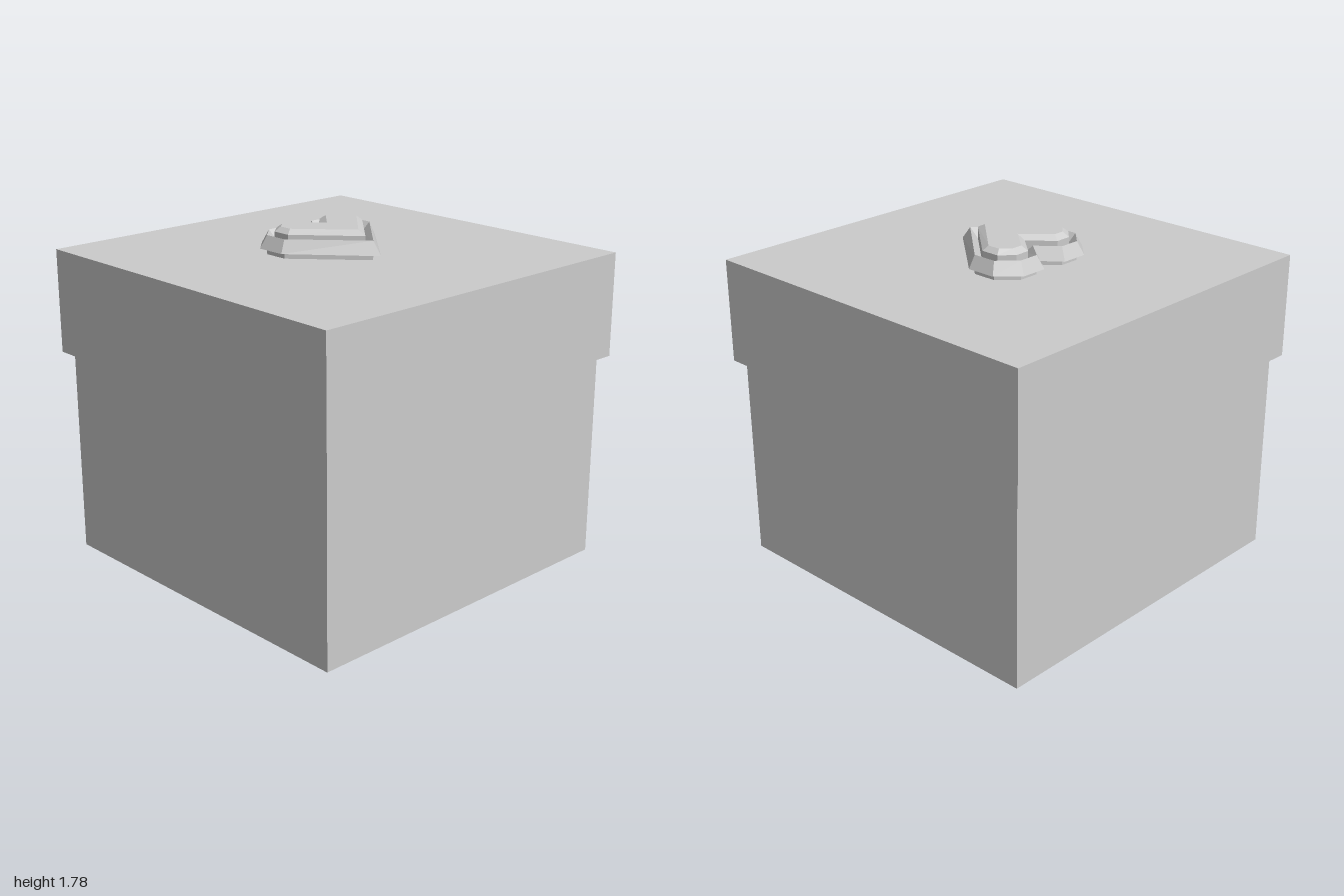
import * as THREE from 'three';

const material = new THREE.MeshStandardMaterial({ color: 0xcccccc, flatShading: true });

function addBox(group, name, size, bottom, top) {
  const mesh = new THREE.Mesh(new THREE.BoxGeometry(size, top - bottom, size), material);
  mesh.position.y = (bottom + top) / 2;
  mesh.name = name;
  group.add(mesh);
}

// Mirror half a heart outline (notch first, tip last) into a closed loop
function heartLoop(half) {
  const mirrored = half.slice(1, -1).reverse().map(([x, z]) => [-x, z]);
  return [...half, ...mirrored];
}

// Skin stacked loops from bottom to top, closing the last with a fan
function loft(sections) {
  const positions = [];
  const rings = sections.map(([loop, y]) => loop.map(([x, z]) => [x, y, z]));
  const count = rings[0].length;
  for (let r = 0; r < rings.length - 1; r++) {
    for (let i = 0; i < count; i++) {
      const j = (i + 1) % count;
      const a = rings[r][i], b = rings[r][j], c = rings[r + 1][i], d = rings[r + 1][j];
      positions.push(...a, ...c, ...b, ...b, ...c, ...d);
    }
  }
  const top = rings[rings.length - 1];
  const centre = [0, top[0][1], 0];
  for (let i = 0; i < count; i++) positions.push(...centre, ...top[(i + 1) % count], ...top[i]);
  const geometry = new THREE.BufferGeometry();
  geometry.setAttribute('position', new THREE.Float32BufferAttribute(positions, 3));
  geometry.computeVertexNormals();
  return geometry;
}

export function createModel() {
  const group = new THREE.Group();
  group.name = 'giftBox';

  addBox(group, 'boxBody', 1.91, 0, 1.1);
  addBox(group, 'lid', 2, 1.095, 1.64);

  // Heart handle: nested outlines from the wide rim to the raised centre
  const rim = heartLoop([[0, -0.21], [0.075, -0.305], [0.22, -0.305], [0.325, -0.2], [0.325, -0.04], [0, 0.33]]);
  const ridge = heartLoop([[0, -0.16], [0.092, -0.27], [0.203, -0.27], [0.295, -0.18], [0.295, -0.05], [0, 0.275]]);
  const groove = heartLoop([[0, -0.105], [0.107, -0.228], [0.19, -0.228], [0.257, -0.165], [0.257, -0.065], [0, 0.22]]);
  const crown = heartLoop([[0, -0.057], [0.12, -0.195], [0.18, -0.195], [0.23, -0.15], [0.23, -0.08], [0, 0.17]]);

  const heart = new THREE.Mesh(loft([
    [ridge, 1.64],
    [ridge, 1.67],
    [rim, 1.67],
    [ridge, 1.738],
    [groove, 1.69],
    [groove, 1.752],
    [crown, 1.776],
  ]), material);
  heart.name = 'heartHandle';
  group.add(heart);

  return group;
}
